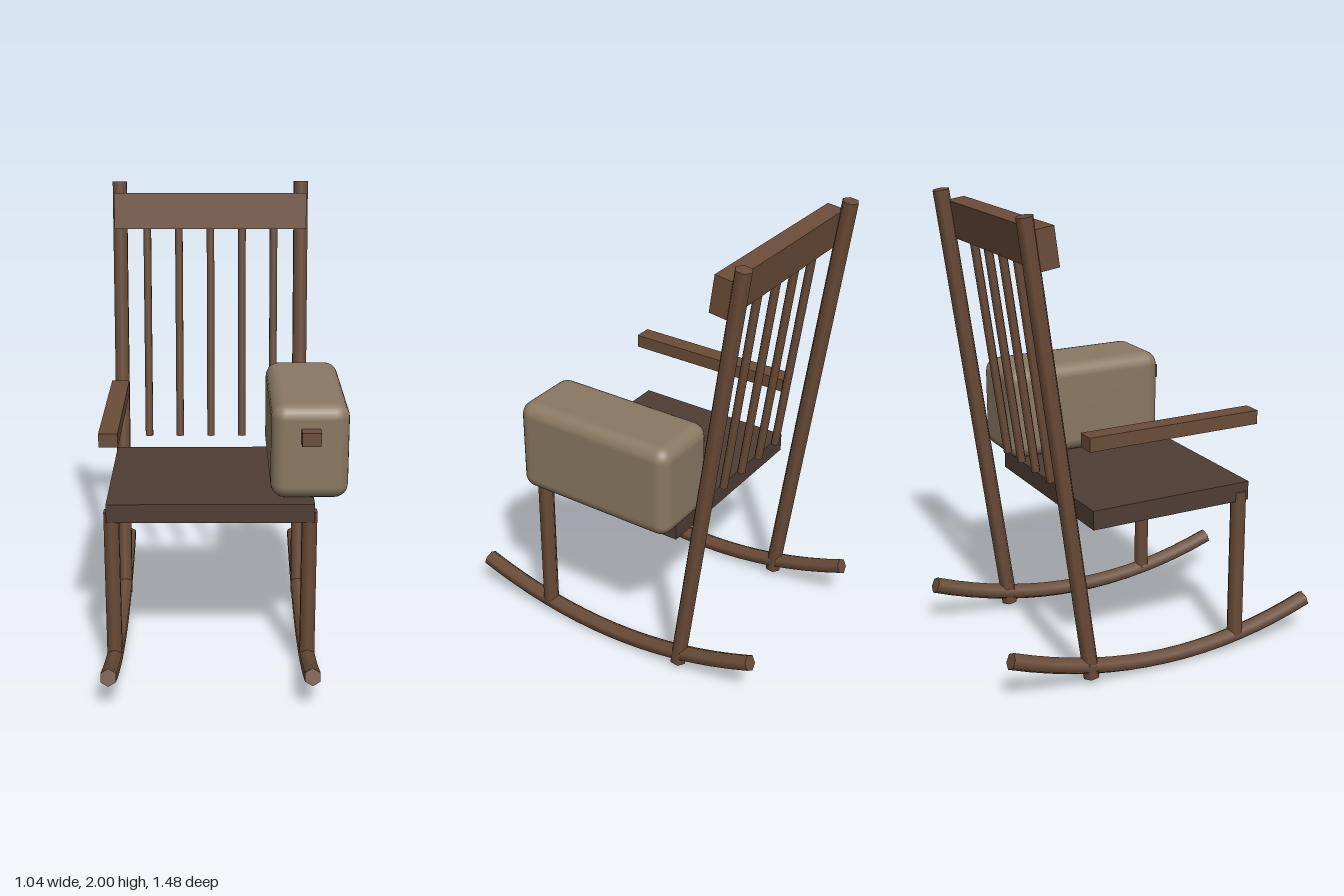
import * as THREE from 'three';
import { RoundedBoxGeometry } from 'three/addons/geometries/RoundedBoxGeometry.js';

const CX = -0.065;   // centre line of the chair; the pillow hangs out on its left
const HALF = 0.42;   // half the distance between the posts
const TILT = -0.137; // backward lean of the back

// Six-sided bar bent along a curve in the yz plane
function bentBar(curve, radius, steps) {
  const geo = new THREE.CylinderGeometry(radius, radius, 1, 6, steps);
  const pos = geo.attributes.position, nor = geo.attributes.normal;
  for (let i = 0; i < pos.count; i++) {
    const t = THREE.MathUtils.clamp(pos.getY(i) + 0.5, 0, 1);
    const p = curve.getPoint(t), tan = curve.getTangent(t);
    const side = new THREE.Vector3(0, -tan.z, tan.y);
    const z = pos.getZ(i), ny = nor.getY(i), nz = nor.getZ(i);
    pos.setXYZ(i, pos.getX(i), p.y + side.y * z, p.z + side.z * z);
    nor.setXYZ(i, nor.getX(i), tan.y * ny + side.y * nz, tan.z * ny + side.z * nz);
  }
  return geo;
}

export function createModel() {
  const model = new THREE.Group();
  model.name = 'rockingChair';
  const wood = new THREE.MeshStandardMaterial({ color: 0x6b4c38 });
  const darkWood = new THREE.MeshStandardMaterial({ color: 0x4f3d34 });
  const cloth = new THREE.MeshStandardMaterial({ color: 0x8b7962 });

  const add = (name, geo, mat, x, y, z, tilt = 0) => {
    const mesh = new THREE.Mesh(geo, mat);
    mesh.name = name;
    mesh.position.set(x, y, z);
    mesh.rotation.x = tilt;
    model.add(mesh);
  };
  const box = (w, h, d) => new THREE.BoxGeometry(w, h, d);
  const rod = (r, h) => new THREE.CylinderGeometry(r, r, h, 6);

  // Seat and top rail
  add('seat', box(0.88, 0.083, 0.75), darkWood, CX, 0.743, 0.02);
  add('topRail', box(0.88, 0.163, 0.08), wood, CX, 1.87, -0.543, TILT);

  // Rockers, legs, back posts and armrests on both sides
  const rockerCurve = new THREE.QuadraticBezierCurve3(
    new THREE.Vector3(0, 0.155, 0.73),
    new THREE.Vector3(0, -0.094, 0.005),
    new THREE.Vector3(0, 0.195, -0.725),
  );
  const rocker = bentBar(rockerCurve, 0.037, 16);
  for (const side of [-1, 1]) {
    const x = CX + side * HALF;
    const label = side > 0 ? 'left' : 'right';
    add(label + 'Rocker', rocker, wood, x, 0, 0);
    add(label + 'FrontLeg', rod(0.037, 0.675), wood, x, 0.405, 0.358);
    add(label + 'BackPost', rod(0.037, 1.978), wood, x, 1.015, -0.492, TILT);
    add(label + 'Armrest', box(0.08, 0.06, 0.795), wood, x, 1.075, 0.018);
  }

  // Back spindles
  for (let i = -2; i <= 2; i++) {
    add('spindle' + (i + 3), rod(0.02, 1.02), wood, CX + i * 0.146, 1.332, -0.473, TILT);
  }

  // Pillow over the left armrest
  add('pillow', new RoundedBoxGeometry(0.33, 0.415, 0.755, 3, 0.06), cloth, 0.355, 0.993, -0.018);

  return model;
}
